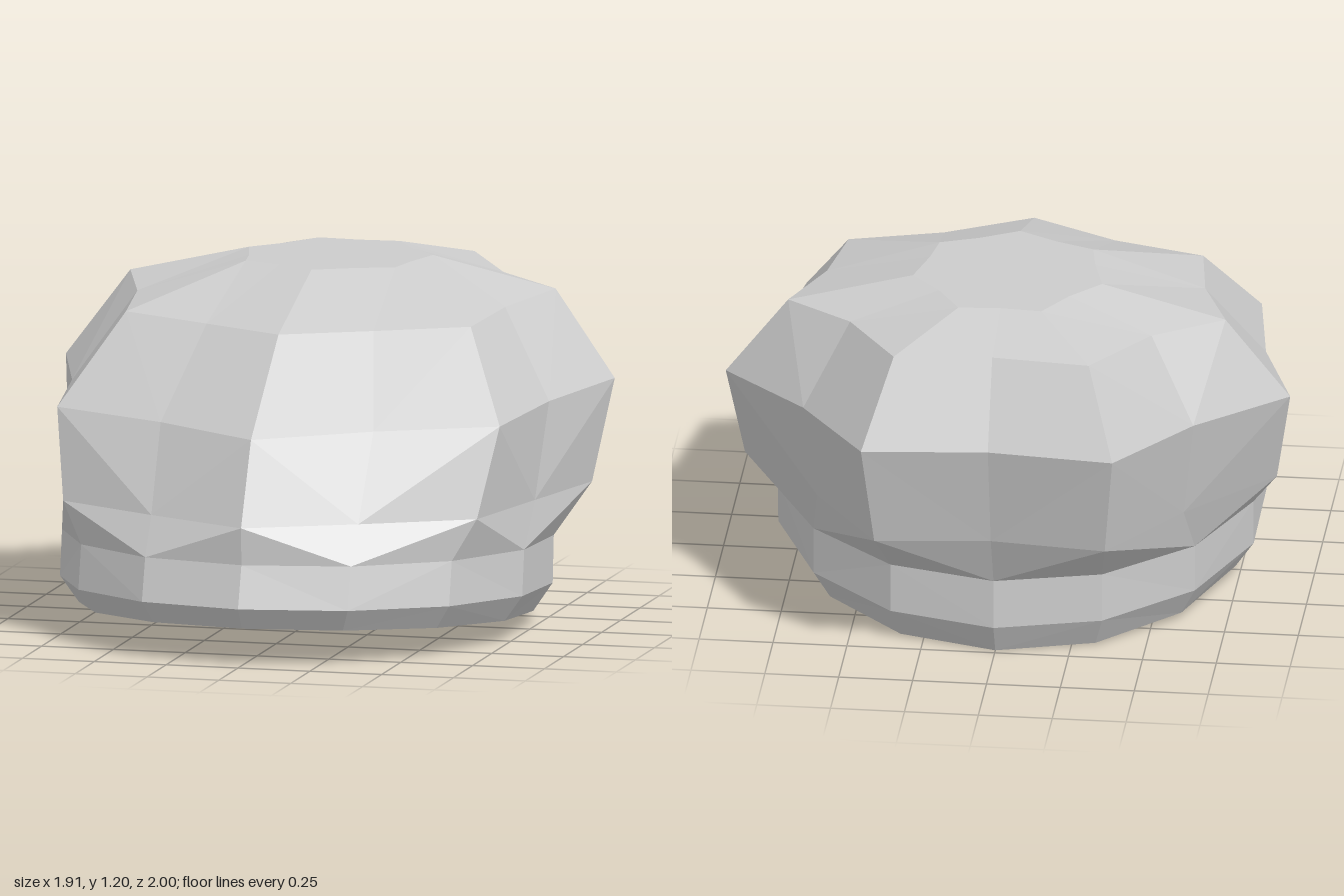
import * as THREE from 'three';

const SIDES = 14;

// Elliptical band section, tilted slightly up towards the front
function bandRing(rx, rz, cz, y0, slope) {
  return Array.from({ length: SIDES }, (_, k) => {
    const a = (k / SIDES) * Math.PI * 2;
    const z = cz + rz * Math.cos(a);
    return [rx * Math.sin(a), y0 + slope * z, z];
  });
}

// Seven-lobed section: half outline from front centre to back centre, mirrored across x
function lobedRing(half) {
  return Array.from({ length: SIDES }, (_, k) => {
    if (k <= 7) return half[k];
    const [x, y, z] = half[SIDES - k];
    return [-x, y, z];
  });
}

// Flat-faced mesh from a list of triangles
function facetedMesh(name, triangles, material) {
  const geometry = new THREE.BufferGeometry();
  geometry.setAttribute('position', new THREE.Float32BufferAttribute(triangles.flat(2), 3));
  geometry.computeVertexNormals();
  const mesh = new THREE.Mesh(geometry, material);
  mesh.name = name;
  return mesh;
}

// Skin between successive sections, listed from bottom to top
function loft(rings) {
  const tris = [];
  for (let r = 0; r < rings.length - 1; r++) {
    for (let k = 0; k < SIDES; k++) {
      const n = (k + 1) % SIDES;
      const a = rings[r][k], b = rings[r][n], c = rings[r + 1][n], d = rings[r + 1][k];
      // Split each quad from its lobe edge so both halves of a lobe mirror
      if (k % 2) tris.push([a, b, c], [a, c, d]);
      else tris.push([a, b, d], [b, c, d]);
    }
  }
  return tris;
}

// Fan closing a section around a centre point
function cap(ring, centre, up) {
  return ring.map((p, k) => {
    const q = ring[(k + 1) % SIDES];
    return up ? [centre, p, q] : [centre, q, p];
  });
}

export function createModel() {
  const group = new THREE.Group();
  group.name = 'puffyHat';
  const cloth = new THREE.MeshStandardMaterial({ color: 0xcccccc });
  cloth.name = 'lightGreyCloth';

  // Head band
  const bottom = bandRing(0.76, 0.84, 0.11, 0.055, 0.075);
  const bandLow = bandRing(0.825, 0.895, 0.105, 0.15, 0.05);
  const bandTop = bandRing(0.825, 0.87, 0.085, 0.31, 0.035);

  // Crown sections: lower gather, widest bulge, shoulder, flat top
  const gather = lobedRing([
    [0, 0.47, 0.96], [0.36, 0.47, 0.78], [0.72, 0.47, 0.58], [0.81, 0.47, 0.16],
    [0.9, 0.47, -0.25], [0.62, 0.47, -0.57], [0.39, 0.47, -0.91], [0, 0.47, -0.87],
  ]);
  const bulge = lobedRing([
    [0, 0.75, 0.83], [0.37, 0.76, 0.62], [0.77, 0.77, 0.47], [0.83, 0.79, 0.05],
    [0.955, 0.81, -0.34], [0.66, 0.825, -0.64], [0.425, 0.84, -1.0], [0, 0.84, -0.96],
  ]);
  const shoulder = lobedRing([
    [0, 1.05, 0.47], [0.29, 1.05, 0.32], [0.6, 1.06, 0.21], [0.64, 1.08, -0.09],
    [0.74, 1.1, -0.375], [0.51, 1.115, -0.56], [0.33, 1.13, -0.855], [0, 1.13, -0.825],
  ]);
  const top = lobedRing([
    [0, 1.2, 0.04], [0.13, 1.2, -0.03], [0.26, 1.2, -0.08], [0.28, 1.2, -0.2],
    [0.32, 1.2, -0.35], [0.22, 1.2, -0.46], [0.14, 1.2, -0.59], [0, 1.2, -0.58],
  ]);

  group.add(
    facetedMesh('underside', cap(bottom, [0, 0.063, 0.11], false), cloth),
    facetedMesh('headBand', loft([bottom, bandLow, bandTop]), cloth),
    facetedMesh('crown', loft([bandTop, gather, bulge, shoulder, top]), cloth),
    facetedMesh('crownTop', cap(top, [0, 1.2, -0.29], true), cloth),
  );
  return group;
}
